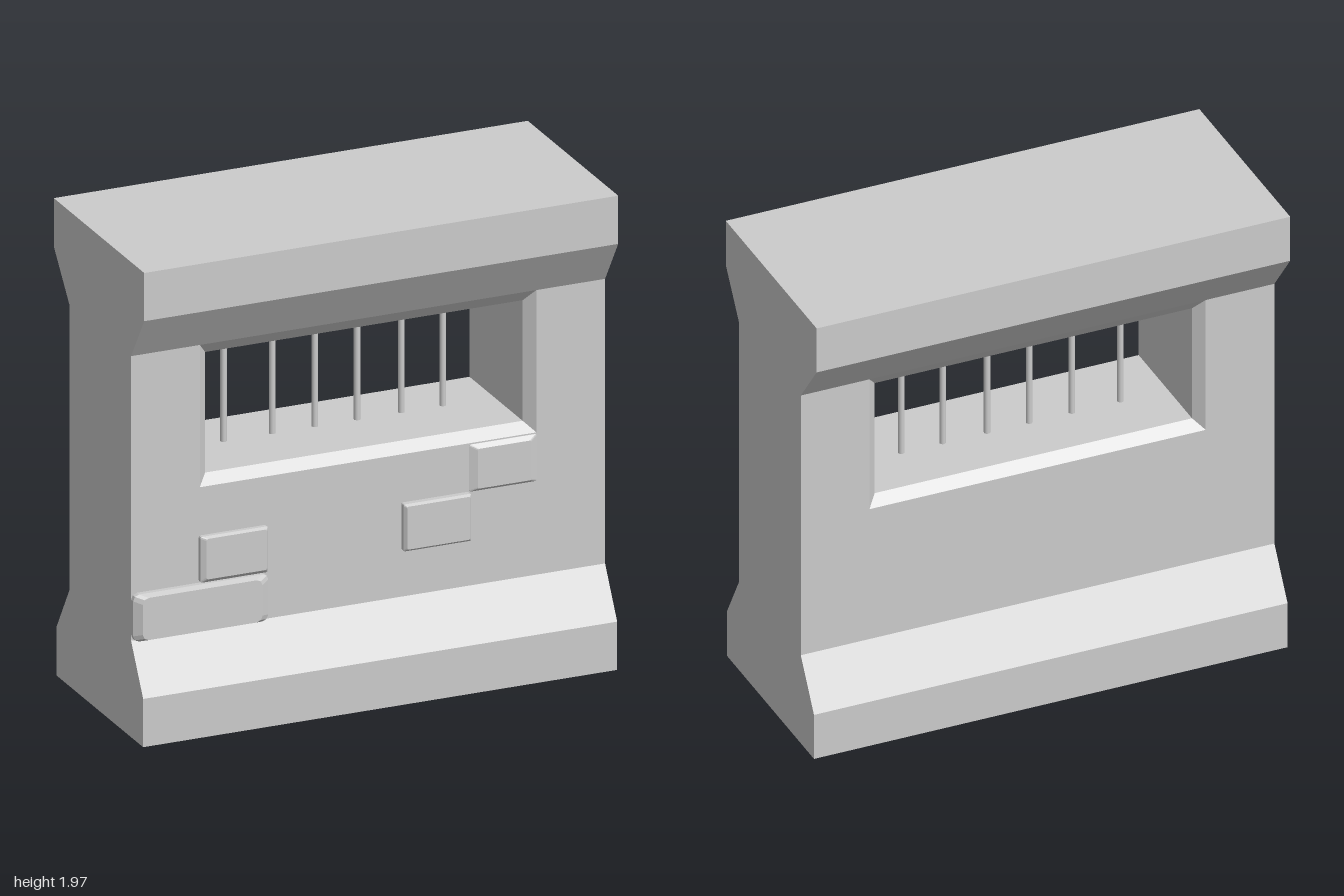
import * as THREE from 'three';

const stone = new THREE.MeshStandardMaterial({ color: 0xcccccc });
stone.name = 'stone';

const FRONT = 0.305, BACK = -0.28, BEVEL = 0.04;

function polygon(points) {
  return new THREE.Shape(points.map(([a, b]) => new THREE.Vector2(a, b)));
}

// Extrudes a [z, y] profile along x, centred on x = 0
function alongX(points, width) {
  const g = new THREE.ExtrudeGeometry(polygon(points), { depth: width, bevelEnabled: false });
  return g.translate(0, 0, -width / 2).rotateY(-Math.PI / 2);
}

// Extrudes an [x, z] outline upwards from y0 to y1
function alongY(points, y0, y1) {
  const outline = polygon(points.map(([x, z]) => [x, -z]));
  const g = new THREE.ExtrudeGeometry(outline, { depth: y1 - y0, bevelEnabled: false });
  return g.rotateX(-Math.PI / 2).translate(0, y0, 0);
}

// Counter-clockwise rounded rectangle, three points to a corner
function ring([x0, x1, y0, y1], r, z) {
  const corners = [[x1 - r, y0 + r], [x1 - r, y1 - r], [x0 + r, y1 - r], [x0 + r, y0 + r]];
  return corners.flatMap(([cx, cy], i) => [0, 1, 2].map((k) => {
    const a = (i - 1) * Math.PI / 2 + k * Math.PI / 4;
    return [cx + r * Math.cos(a), cy + r * Math.sin(a), z];
  }));
}

// Raised brick lofted from its base on the wall to its smaller face
function brickGeometry({ base, face, z, lip, round }) {
  const rings = [ring(base, round, FRONT - 0.01), ring(base, round, lip), ring(face, round, z)];
  const n = rings[0].length, pos = [];
  for (let s = 0; s < 2; s++) {
    for (let i = 0; i < n; i++) {
      const j = (i + 1) % n;
      const [a, b, c, d] = [rings[s][i], rings[s][j], rings[s + 1][j], rings[s + 1][i]];
      pos.push(...a, ...b, ...c, ...a, ...c, ...d);
    }
  }
  const top = rings[2];
  for (let i = 1; i < n - 1; i++) pos.push(...top[0], ...top[i], ...top[i + 1]);
  const g = new THREE.BufferGeometry();
  g.setAttribute('position', new THREE.Float32BufferAttribute(pos, 3));
  g.computeVertexNormals();
  return g;
}

export function createModel() {
  const model = new THREE.Group();
  model.name = 'barredWindowWall';
  const add = (name, geometry) => {
    const mesh = new THREE.Mesh(geometry, stone);
    mesh.name = name;
    model.add(mesh);
    return mesh;
  };

  // Flared plinth with the wall below the window
  add('lowerWall', alongX([
    [0.42, 0], [0.42, 0.2], [FRONT, 0.4], [FRONT, 0.99],
    [BACK, 0.99], [BACK, 0.4], [-0.405, 0.2], [-0.405, 0],
  ], 2));

  // Overhanging cap
  add('cap', alongX([
    [FRONT, 1.58], [0.43, 1.77], [0.43, 1.97],
    [-0.43, 1.97], [-0.43, 1.77], [BACK, 1.58],
  ], 2));

  // Chamfered window surround
  add('sill', alongX([
    [FRONT, 0.99], [FRONT - BEVEL, 1.03], [BACK + BEVEL, 1.03], [BACK, 0.99],
  ], 1.42));
  add('lintel', alongX([
    [FRONT, 1.58], [FRONT - BEVEL, 1.53], [BACK + BEVEL, 1.53], [BACK, 1.58],
  ], 1.42));
  for (const side of [-1, 1]) {
    add(side > 0 ? 'leftJamb' : 'rightJamb', alongY([
      [side, FRONT], [side * 0.71, FRONT], [side * 0.67, FRONT - BEVEL],
      [side * 0.67, BACK + BEVEL], [side * 0.71, BACK], [side, BACK],
    ], 0.99, 1.58));
  }

  // Window bars of slightly uneven height and spacing: [x, top]
  const bars = [[-0.47, 1.51], [-0.265, 1.52], [-0.085, 1.515], [0.093, 1.51], [0.28, 1.515], [0.455, 1.525]];
  for (const [x, top] of bars) {
    const bar = add('windowBar', new THREE.CylinderGeometry(0.013, 0.013, top - 1.02, 12));
    bar.position.set(x, (top + 1.02) / 2, -0.01);
  }

  // Bricks standing proud of the front
  const bricks = [
    { base: [-1, -0.43, 0.4, 0.595], face: [-0.97, -0.465, 0.41, 0.585], z: 0.35, lip: 0.325, round: 0.025 },
    { base: [-0.715, -0.43, 0.6, 0.79], face: [-0.695, -0.44, 0.615, 0.783], z: 0.335, lip: 0.322, round: 0.008 },
    { base: [0.14, 0.425, 0.595, 0.79], face: [0.15, 0.415, 0.605, 0.783], z: 0.34, lip: 0.328, round: 0.006 },
    { base: [0.425, 0.71, 0.79, 0.985], face: [0.455, 0.68, 0.803, 0.968], z: 0.323, lip: 0.308, round: 0.006 },
  ];
  for (const brick of bricks) add('raisedBrick', brickGeometry(brick));

  return model;
}
